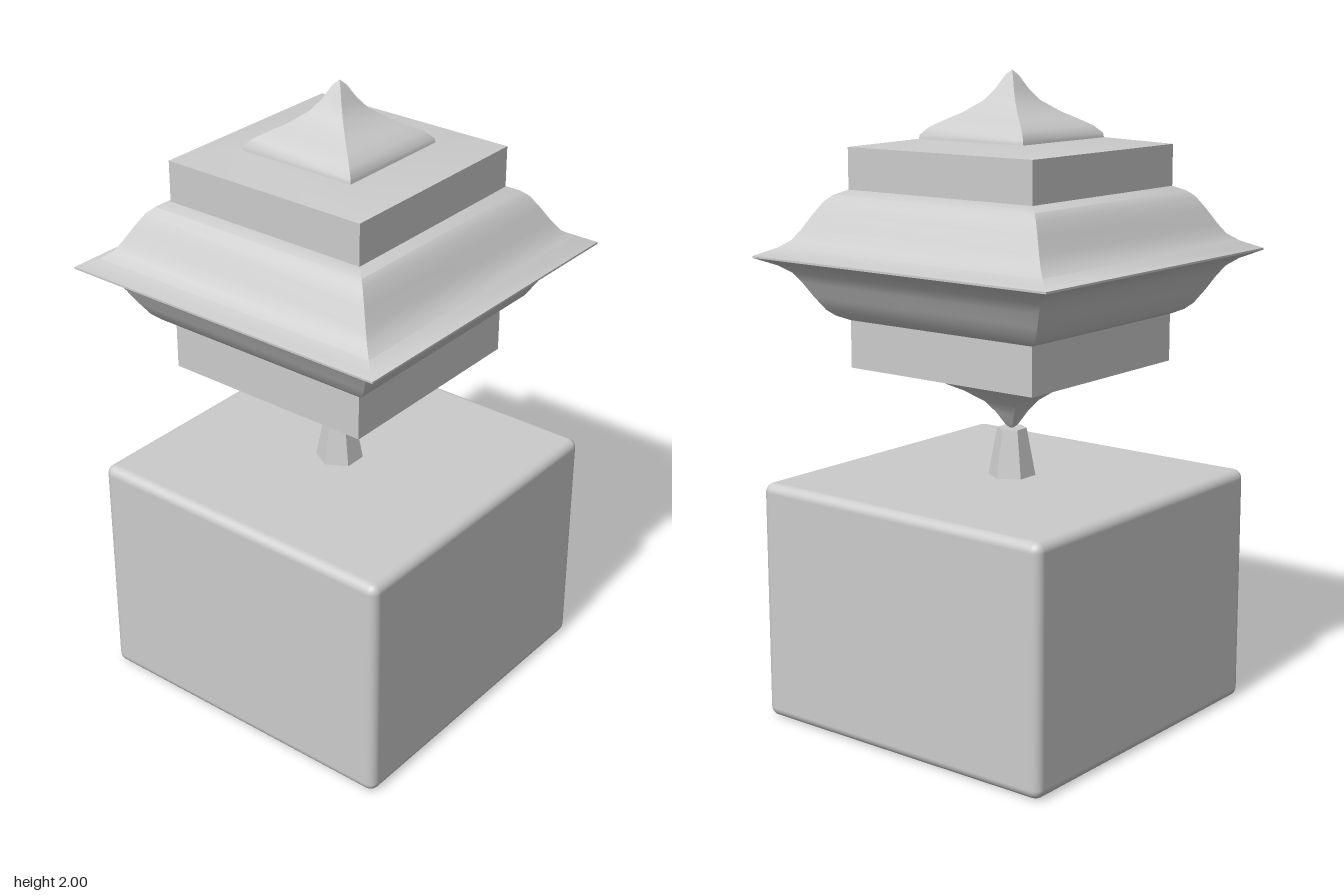
import * as THREE from 'three';
import { toCreasedNormals } from 'three/addons/utils/BufferGeometryUtils.js';
import { RoundedBoxGeometry } from 'three/addons/geometries/RoundedBoxGeometry.js';

const grey = new THREE.MeshStandardMaterial({ color: 0xcccccc });
const flatGrey = new THREE.MeshStandardMaterial({ color: 0xcccccc, flatShading: true });

// Square-plan turning: profile is [half width, y], listed from bottom to top
function squareTurned(name, profile) {
  const points = profile.map(([w, y]) => new THREE.Vector2(w * Math.SQRT2, y));
  const lathe = new THREE.LatheGeometry(points, 4, Math.PI / 4);
  const mesh = new THREE.Mesh(toCreasedNormals(lathe, 0.7), grey);
  mesh.name = name;
  return mesh;
}

// Flip a profile top to bottom about the eaves line
const MID = 1.45;
const flip = (profile) => profile.map(([w, y]) => [w, 2 * MID - y]).reverse();

export function createModel() {
  const model = new THREE.Group();
  model.name = 'lanternOnBlock';

  // Heavy base block with softened edges
  const base = new THREE.Mesh(new RoundedBoxGeometry(1.07, 0.755, 1.07, 3, 0.03), grey);
  base.name = 'base';
  base.position.set(0, 0.3775, -0.02);
  model.add(base);

  const top = new THREE.Group();
  top.name = 'top';
  top.position.z = 0.005;
  model.add(top);

  // Tapered pin between base and lantern
  const pin = new THREE.Mesh(new THREE.CylinderGeometry(0.046, 0.076, 0.16, 6), flatGrey);
  pin.name = 'pin';
  pin.position.y = 0.825;
  top.add(pin);

  // Pointed finials, above and below
  const finial = [
    [0.18, 1.78], [0.198, 1.795], [0.196, 1.81], [0.175, 1.833], [0.14, 1.855],
    [0.105, 1.875], [0.06, 1.91], [0.035, 1.945], [0.014, 1.985], [0, 2],
  ];
  top.add(squareTurned('upperFinial', finial));
  top.add(squareTurned('lowerFinial', flip(finial)));

  // Square blocks with shallow sloping faces
  top.add(squareTurned('upperBlock', [[0.348, 1.63], [0.348, 1.775], [0.2, 1.797], [0, 1.797]]));
  top.add(squareTurned('lowerBlock', [[0, 1.095], [0.2, 1.095], [0.348, 1.105], [0.348, 1.27]]));

  // Flared eaves with a thin lip
  const slope = [
    [0.553, 1.453], [0.535, 1.461], [0.5, 1.477], [0.47, 1.5], [0.45, 1.53],
    [0.425, 1.575], [0.4, 1.615], [0.38, 1.633], [0.348, 1.648], [0, 1.648],
  ];
  top.add(squareTurned('eaves', [...flip(slope), ...slope]));

  return model;
}
